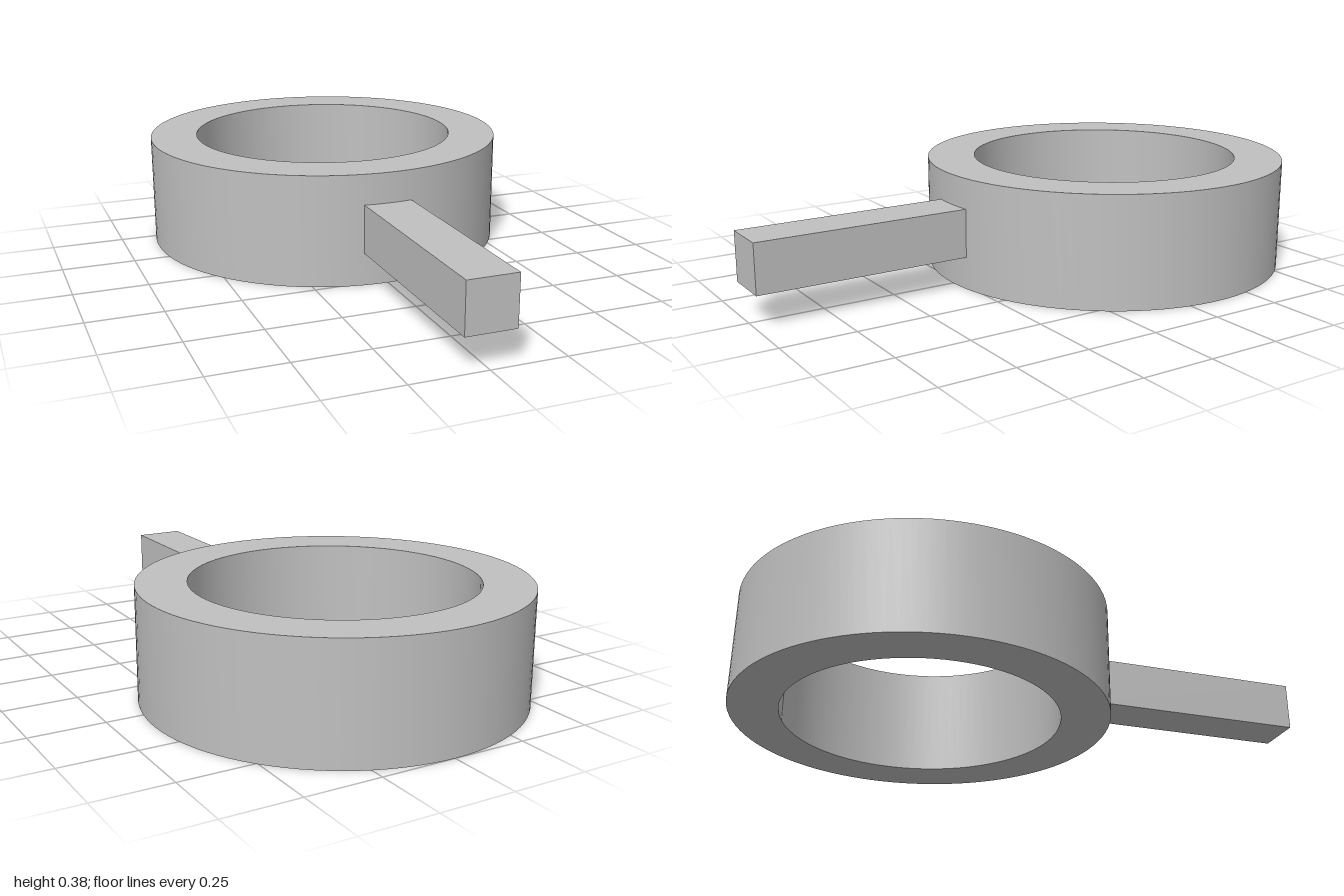
import * as THREE from 'three';
import { toCreasedNormals } from 'three/addons/utils/BufferGeometryUtils.js';

const OUTER = 0.637, INNER = 0.47, HEIGHT = 0.383, RING_Z = -0.363;

export function createModel() {
  const model = new THREE.Group();
  const grey = new THREE.MeshStandardMaterial({ color: 0xc0c0c0 });
  grey.name = 'plain grey';

  const add = (name, geometry, x, y, z) => {
    const mesh = new THREE.Mesh(geometry, grey);
    mesh.name = name;
    mesh.position.set(x, y, z);
    model.add(mesh);
  };

  // Ring: closed rectangular section turned about y
  const section = [[INNER, 0], [OUTER, 0], [OUTER, HEIGHT], [INNER, HEIGHT], [INNER, 0]]
    .map(([r, y]) => new THREE.Vector2(r, y));
  add('ring', toCreasedNormals(new THREE.LatheGeometry(section, 96), 0.6), 0, 0, RING_Z);

  // Handle: square bar, its inner end sunk into the ring wall
  const back = 0.22, front = 1;
  add('handle', new THREE.BoxGeometry(0.167, 0.167, front - back), 0, 0.195, (front + back) / 2);

  return model;
}
